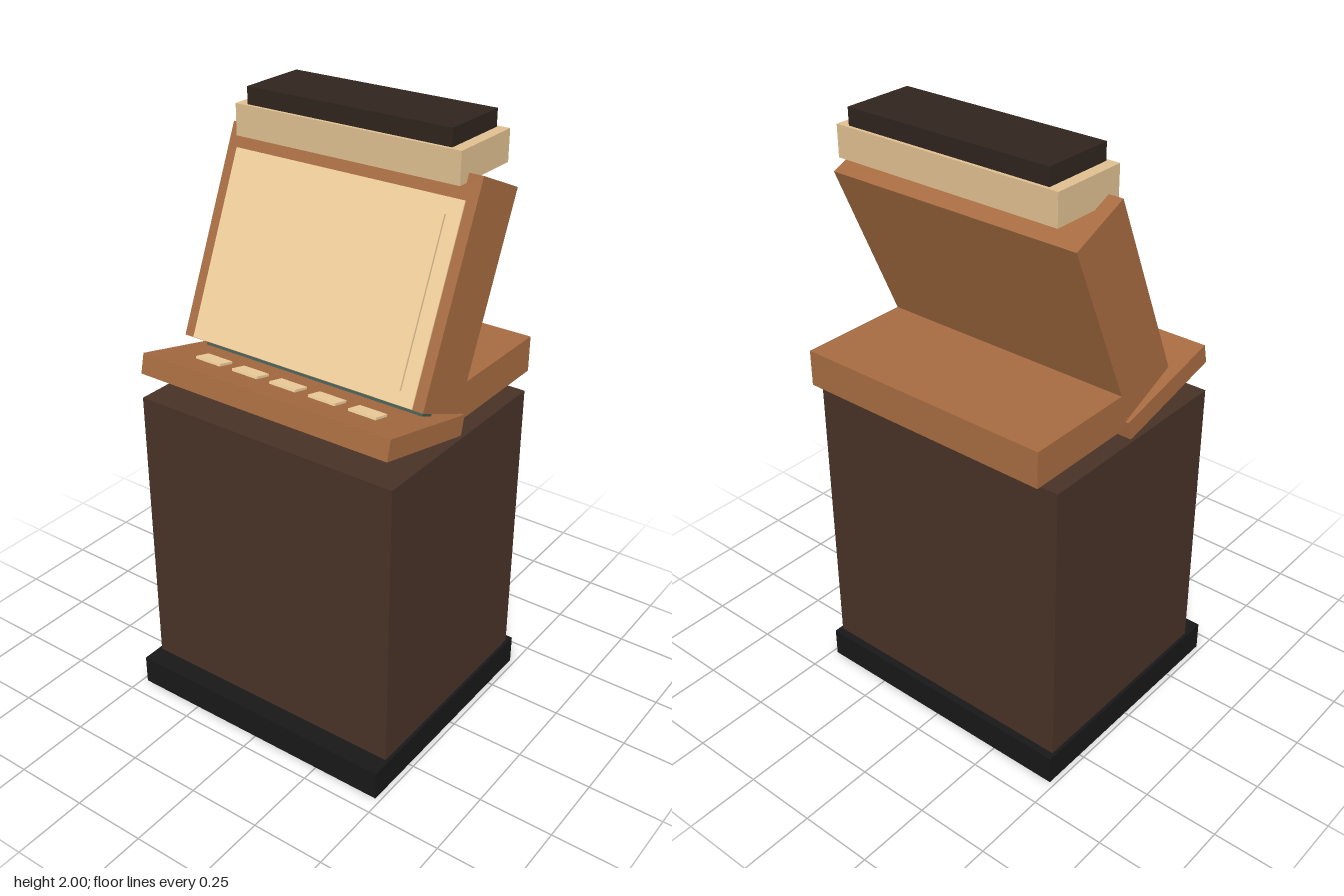
import * as THREE from 'three';

const mat = (color) => new THREE.MeshStandardMaterial({ color, flatShading: true });
const WOOD = mat(0xa66b40), DARK = mat(0x483226), BLACK = mat(0x181818);
const CAP = mat(0x2f241d), CREAM = mat(0xf0cf9c), TRIM = mat(0xdfbf91), GREEN = mat(0x3f5a50);

// Box given by its size and centre
function box(parent, name, material, [w, h, d], [x, y, z]) {
  const mesh = new THREE.Mesh(new THREE.BoxGeometry(w, h, d), material);
  mesh.name = name;
  mesh.position.set(x, y, z);
  parent.add(mesh);
  return mesh;
}

// Group tilted about the x axis
function tilted(parent, name, y, z, angle) {
  const group = new THREE.Group();
  group.name = name;
  group.position.set(0, y, z);
  group.rotation.x = angle;
  parent.add(group);
  return group;
}

export function createModel() {
  const model = new THREE.Group();
  model.name = 'arcadeCabinet';

  // Plinth, lower body and rear deck
  box(model, 'plinth', BLACK, [0.966, 0.1, 0.845], [0, 0.05, 0.0175]);
  box(model, 'body', DARK, [0.944, 0.99, 0.75], [0, 0.595, -0.005]);
  box(model, 'rearDeck', WOOD, [0.896, 0.12, 0.42], [0, 1.19, -0.23]);

  // Control panel rising towards the front, with a row of keys
  const panel = tilted(model, 'controlPanel', 1.168, 0.175, -0.236);
  box(panel, 'panelBoard', WOOD, [0.92, 0.067, 0.407], [0, 0, 0]);
  for (let i = -2; i <= 2; i++) {
    box(panel, 'key', CREAM, [0.097, 0.02, 0.06], [i * 0.145, 0.0315, 0.067]);
  }

  // Screen housing leaning back
  const housing = tilted(model, 'screenHousing', 1.515, -0.052, -0.413);
  const front = 0.217 / 2;
  box(housing, 'housingShell', WOOD, [0.896, 0.683, 0.217], [0, 0, 0]);
  box(housing, 'bezel', CREAM, [0.824, 0.605, 0.02], [0, -0.0375, front - 0.006]);
  box(housing, 'screen', CREAM, [0.726, 0.514, 0.02], [0, -0.041, front + 0.002]);
  box(housing, 'innerTube', GREEN, [0.82, 0.62, 0.055], [0, -0.051, front - 0.097]);

  // Level sign block and its cap
  box(model, 'signBlock', TRIM, [0.8, 0.1, 0.265], [0, 1.895, -0.176]);
  box(model, 'signCap', CAP, [0.725, 0.055, 0.242], [0, 1.9725, -0.176]);

  return model;
}
